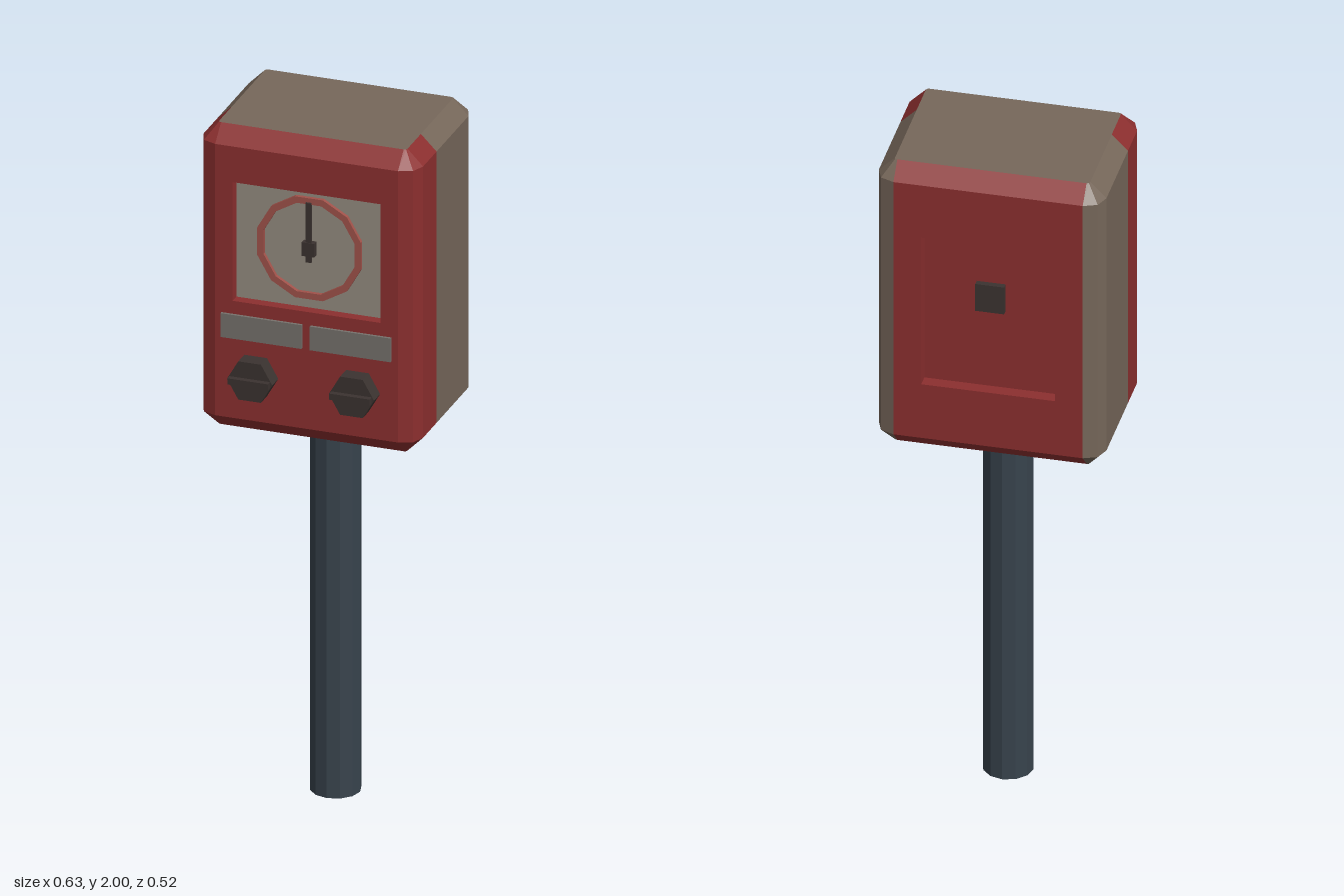
import * as THREE from 'three';

const mat = (color) => new THREE.MeshStandardMaterial({ color, flatShading: true });
const RED = mat(0x8c2f2f), BROWN = mat(0x76675a), POLE = mat(0x38434d), DARK = mat(0x3b3330);
const DIAL = mat(0x958c80), PLATE = mat(0x76716c), RING = mat(0xa0524a);

function add(parent, name, geometry, material, x = 0, y = 0, z = 0) {
  const mesh = new THREE.Mesh(geometry, material);
  mesh.name = name;
  mesh.position.set(x, y, z);
  parent.add(mesh);
  return mesh;
}
const box = (w, h, d) => new THREE.BoxGeometry(w, h, d);

// Half outlines in plan (x, z), running from the front round the +x side to the back
const WALL = [[0.262, 0.198], [0.3, 0.183], [0.315, 0.145], [0.315, 0.04], [0.315, -0.21], [0.3, -0.248], [0.262, -0.263]];
const CAP = [[0.262, 0.152], [0.268, 0.15], [0.27, 0.144], [0.27, 0.04], [0.27, -0.21], [0.268, -0.216], [0.262, -0.218]];
const loop = (half, y) => [...half, ...half.map(([x, z]) => [-x, z]).reverse()].map(([x, z]) => [x, y, z]);

// Chamfered housing skin, split by colour; flat front and back are left open for the panels
function buildHousing(group) {
  const rings = [loop(CAP, 1.11), loop(WALL, 1.155), loop(WALL, 1.955), loop(CAP, 2)];
  const red = [], brown = [];
  const n = rings[0].length;
  for (let i = 0; i < n; i++) {
    const j = (i + 1) % n;
    const isBrown = (i >= 3 && i <= 5) || (i >= 7 && i <= 9);
    for (let r = 0; r < 3; r++) {
      if (r === 1 && (i === 6 || i === 13)) continue;
      const lo = rings[r], up = rings[r + 1];
      (isBrown ? brown : red).push(...lo[i], ...lo[j], ...up[j], ...lo[i], ...up[j], ...up[i]);
    }
    // Top and bottom caps
    brown.push(0, 2, -0.03, ...rings[3][i], ...rings[3][j]);
    brown.push(0, 1.11, -0.03, ...rings[0][j], ...rings[0][i]);
  }
  for (const [name, points, material] of [['housingShell', red, RED], ['housingSides', brown, BROWN]]) {
    const geometry = new THREE.BufferGeometry();
    geometry.setAttribute('position', new THREE.Float32BufferAttribute(points, 3));
    geometry.computeVertexNormals();
    add(group, name, geometry, material);
  }
}

function rectangle(target, x, y0, y1) {
  target.moveTo(-x, y0);
  target.lineTo(x, y0);
  target.lineTo(x, y1);
  target.lineTo(-x, y1);
  target.closePath();
  return target;
}

// Flat panel with a rectangular opening whose walls run inwards
function recessPanel(x, y0, y1, depth) {
  const shape = rectangle(new THREE.Shape(), 0.262, 1.155, 1.955);
  shape.holes.push(rectangle(new THREE.Path(), x, y0, y1));
  return new THREE.ExtrudeGeometry(shape, { depth, bevelEnabled: false });
}

function polygon(target, radius, sides) {
  for (let i = 0; i < sides; i++) {
    const a = ((i + 0.5) / sides) * Math.PI * 2;
    target[i ? 'lineTo' : 'moveTo'](radius * Math.cos(a), radius * Math.sin(a));
  }
  target.closePath();
  return target;
}

export function createModel() {
  const model = new THREE.Group();
  model.name = 'parkingMeter';

  // Housing
  const housing = new THREE.Group();
  housing.name = 'housing';
  model.add(housing);
  buildHousing(housing);
  add(housing, 'frontPanel', recessPanel(0.212, 1.5, 1.85, 0.03), RED, 0, 0, 0.168);
  add(housing, 'backPanel', recessPanel(0.185, 1.325, 1.79, 0.036), RED, 0, 0, -0.263);
  add(housing, 'backRecessFloor', box(0.4, 0.5, 0.01), RED, 0, 1.56, -0.222);

  // Dial in the front recess
  const dial = new THREE.Group();
  dial.name = 'dial';
  model.add(dial);
  add(dial, 'dialFace', box(0.44, 0.37, 0.01), DIAL, 0, 1.675, 0.163);
  const ring = polygon(new THREE.Shape(), 0.154, 12);
  ring.holes.push(polygon(new THREE.Path(), 0.135, 12));
  add(dial, 'dialRing', new THREE.ExtrudeGeometry(ring, { depth: 0.012, bevelEnabled: false }), RING, 0, 1.678, 0.167);
  add(dial, 'needle', box(0.016, 0.175, 0.01), DARK, 0, 1.727, 0.18);
  add(dial, 'needleHub', box(0.036, 0.04, 0.018), DARK, 0, 1.678, 0.178);

  // Plates and knobs, one of each per side
  for (const side of [-1, 1]) {
    add(model, 'plate', box(0.232, 0.07, 0.02), PLATE, side * 0.128, 1.427, 0.196);
    const knob = new THREE.Group();
    knob.name = 'knob';
    knob.position.set(side * 0.146, 1.29, 0);
    model.add(knob);
    const hex = new THREE.CylinderGeometry(0.065, 0.065, 0.055, 6).rotateY(Math.PI / 2).rotateX(Math.PI / 2);
    hex.computeBoundingBox();
    add(knob, 'knobBody', hex, DARK, 0, 0, 0.2175);
    add(knob, 'knobGrip', box(0.116, 0.018, 0.03), DARK, 0, 0, 0.246);
  }

  // Lock in the back recess
  add(model, 'lock', box(0.08, 0.085, 0.018), DARK, 0, 1.61, -0.235);

  // Pole with a flared collar
  add(model, 'pole', new THREE.CylinderGeometry(0.07, 0.07, 1.1, 12), POLE, 0, 0.55, -0.03);
  add(model, 'collar', new THREE.CylinderGeometry(0.1, 0.07, 0.052, 12), POLE, 0, 1.086, -0.03);
  return model;
}
